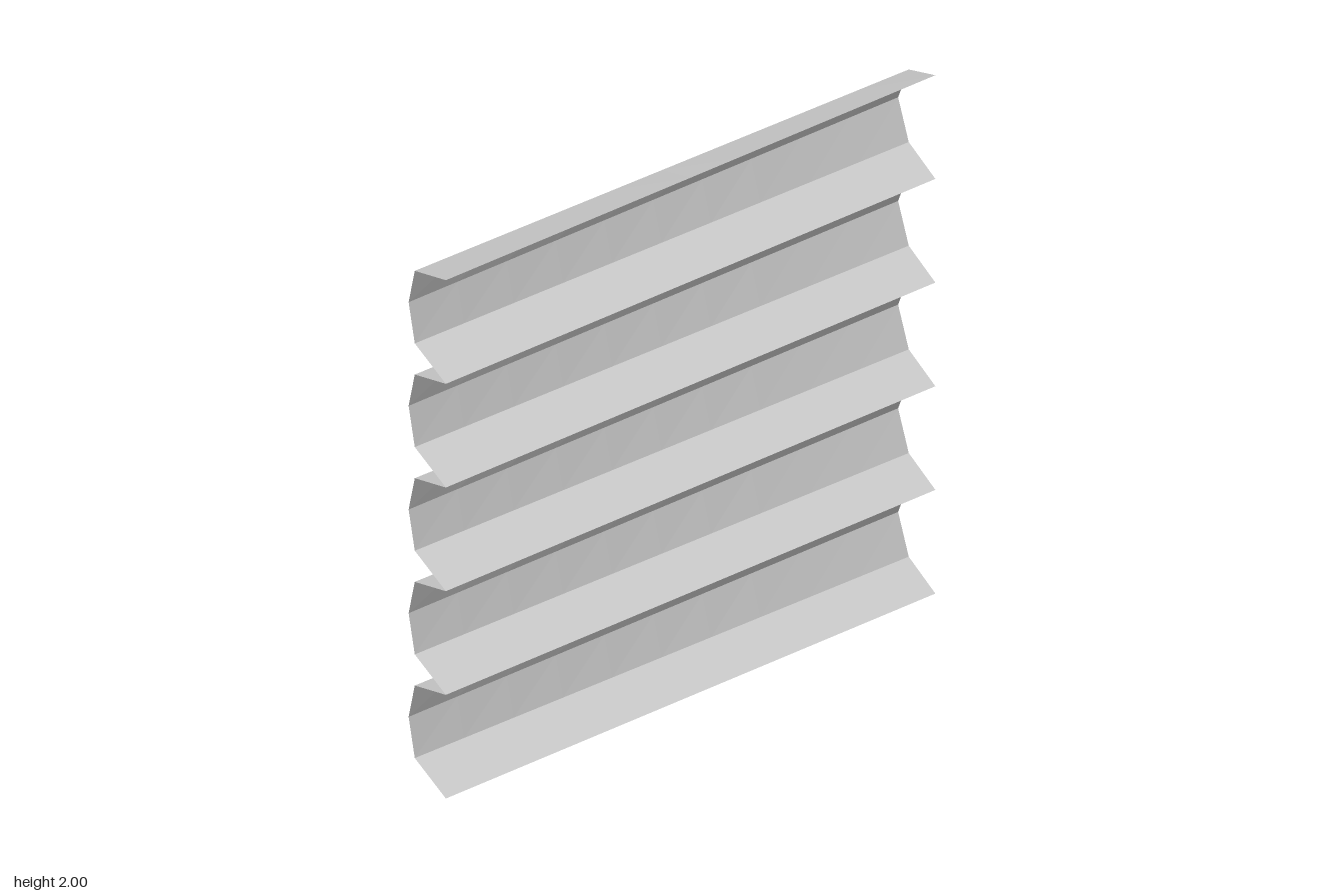
import * as THREE from 'three';

const PLEATS = 5, PITCH = 0.4, HALF_DEPTH = 0.95, STEPS = 10;

// Cross-section of the pleated sheet; t runs from back (0) to front (1).
// The shoulder creases lean inward toward the back.
function profileAt(t) {
  const shoulder = THREE.MathUtils.lerp(-0.043, -0.067, t);
  const points = [];
  for (let i = 0; i < PLEATS; i++) {
    const y = i * PITCH;
    points.push([0.1, y], [shoulder, y + 0.06], [-0.1, y + 0.2], [shoulder, y + 0.34]);
  }
  points.push([0.1, PLEATS * PITCH]);
  return points;
}

// Skins the cross-sections along z
function pleatedGeometry() {
  const positions = [], indices = [];
  let n = 0;
  for (let s = 0; s <= STEPS; s++) {
    const t = s / STEPS;
    const profile = profileAt(t);
    n = profile.length;
    for (const [x, y] of profile) positions.push(x, y, (2 * t - 1) * HALF_DEPTH);
  }
  for (let s = 0; s < STEPS; s++) {
    for (let j = 0; j < n - 1; j++) {
      const a = s * n + j, b = a + 1, c = a + n, d = c + 1;
      indices.push(a, b, c, b, d, c); // outward side faces +x
    }
  }
  const indexed = new THREE.BufferGeometry();
  indexed.setAttribute('position', new THREE.Float32BufferAttribute(positions, 3));
  indexed.setIndex(indices);
  const geometry = indexed.toNonIndexed(); // hard creases
  geometry.computeVertexNormals();
  return geometry;
}

export function createModel() {
  const group = new THREE.Group();
  group.name = 'pleatedPanel';
  const material = new THREE.MeshStandardMaterial({
    color: 0xcccccc, flatShading: true, side: THREE.DoubleSide,
  });
  const sheet = new THREE.Mesh(pleatedGeometry(), material);
  sheet.name = 'pleatedSheet';
  group.add(sheet);
  return group;
}
